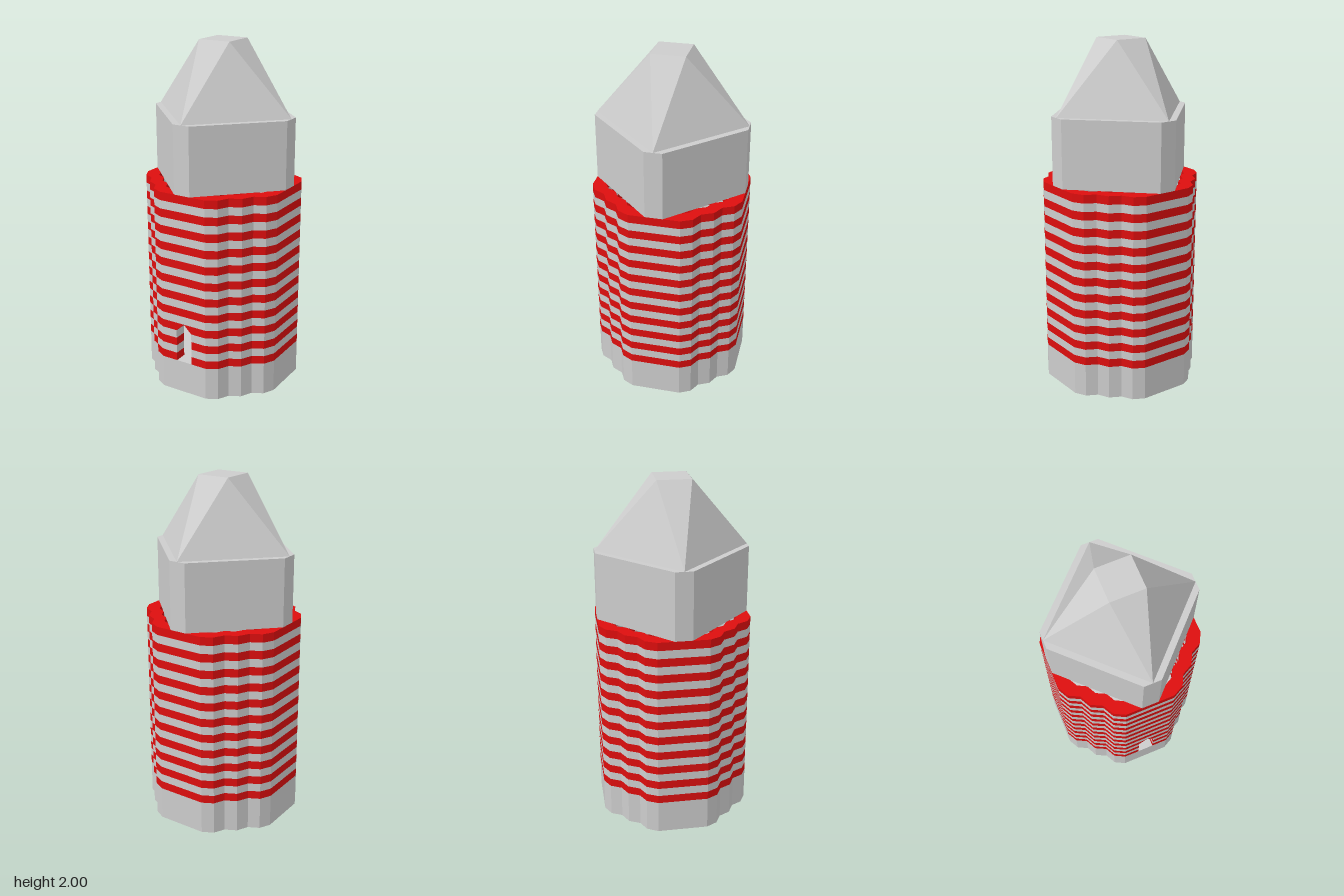
import * as THREE from 'three';
import { ConvexGeometry } from 'three/addons/geometries/ConvexGeometry.js';

const R = 0.433;          // half width of the tower
const INNER = 0.83;       // scale of the hollow inside
const BASE = 0.195;       // top of the solid base
const TOP = 1.207;        // top of the striped wall
const LAYERS = 21;
const H = (TOP - BASE) / LAYERS;
const EAVES = 1.597;
const DOOR = 0.05;        // half width of the doorway

// Scalloped outline, one corner turned four times, starting at the front centre
function outline(scale) {
  const corner = [[R, 0.145], [0.4, 0.208], [0.338, 0.24], [0.305, 0.305],
    [0.24, 0.338], [0.208, 0.4], [0.145, R]];
  const points = [];
  for (let k = 3; k < 7; k++) {
    for (const [x, y] of corner) {
      points.push(new THREE.Vector2(x * scale, y * scale)
        .rotateAround(new THREE.Vector2(), k * Math.PI / 2));
    }
  }
  return points;
}

// Extrudes a plan shape upward from y0 to y1
function slab(shape, y0, y1) {
  const g = new THREE.ExtrudeGeometry(shape, { depth: y1 - y0, bevelEnabled: false });
  return g.rotateX(-Math.PI / 2).translate(0, y0, 0);
}

export function createModel() {
  const model = new THREE.Group();
  const grey = new THREE.MeshStandardMaterial({ color: 0xcccccc });
  grey.name = 'light grey stone';
  const red = new THREE.MeshStandardMaterial({ color: 0xdd0e0e });
  red.name = 'red stripe';

  function add(name, geometry, material, parent = model) {
    const mesh = new THREE.Mesh(geometry, material);
    mesh.name = name;
    parent.add(mesh);
    return mesh;
  }

  // Solid base
  add('base', slab(new THREE.Shape(outline(1)), 0, BASE), grey);

  // Closed wall ring, and the same ring with the doorway cut out
  const ring = new THREE.Shape(outline(1));
  ring.holes.push(new THREE.Path(outline(INNER).reverse()));
  const openRing = new THREE.Shape([
    new THREE.Vector2(DOOR, -R),
    ...outline(1),
    new THREE.Vector2(-DOOR, -R),
    new THREE.Vector2(-DOOR, -R * INNER),
    ...outline(INNER).reverse(),
    new THREE.Vector2(DOOR, -R * INNER),
  ]);

  // Striped hollow wall
  const wall = new THREE.Group();
  wall.name = 'stripedWall';
  model.add(wall);
  for (let i = 0; i < LAYERS; i++) {
    const y = BASE + i * H;
    const isRed = i % 2 === 0;
    add(isRed ? 'redBand' : 'greyBand', slab(i < 5 ? openRing : ring, y, y + H),
      isRed ? red : grey, wall);
  }

  // Wedges that give the doorway its pointed head
  const y0 = BASE + 4 * H;
  const y1 = y0 + H;
  for (const s of [-1, 1]) {
    const wedge = new THREE.Shape([
      new THREE.Vector2(s * DOOR, y0),
      new THREE.Vector2(s * DOOR, y1),
      new THREE.Vector2(0, y1),
    ]);
    const g = new THREE.ExtrudeGeometry(wedge, { depth: R * (1 - INNER), bevelEnabled: false });
    add('doorHead', g.translate(0, 0, R * INNER), red, wall);
  }

  // Upper storey: a diamond plan with clipped corners
  const clipped = [];
  for (let k = 0; k < 4; k++) {
    for (const y of [-DOOR, DOOR]) {
      clipped.push(new THREE.Vector2(R, y)
        .rotateAround(new THREE.Vector2(), k * Math.PI / 2));
    }
  }
  add('upperStorey', slab(new THREE.Shape(clipped), TOP, EAVES), grey);

  // Roof: diamond at the eaves rising to a small square
  const t = 0.097;
  const roof = [];
  for (const s of [-1, 1]) {
    roof.push(new THREE.Vector3(s * R, EAVES, 0), new THREE.Vector3(0, EAVES, s * R));
    roof.push(new THREE.Vector3(s * t, 2, t), new THREE.Vector3(s * t, 2, -t));
  }
  add('roof', new ConvexGeometry(roof), grey);

  return model;
}
